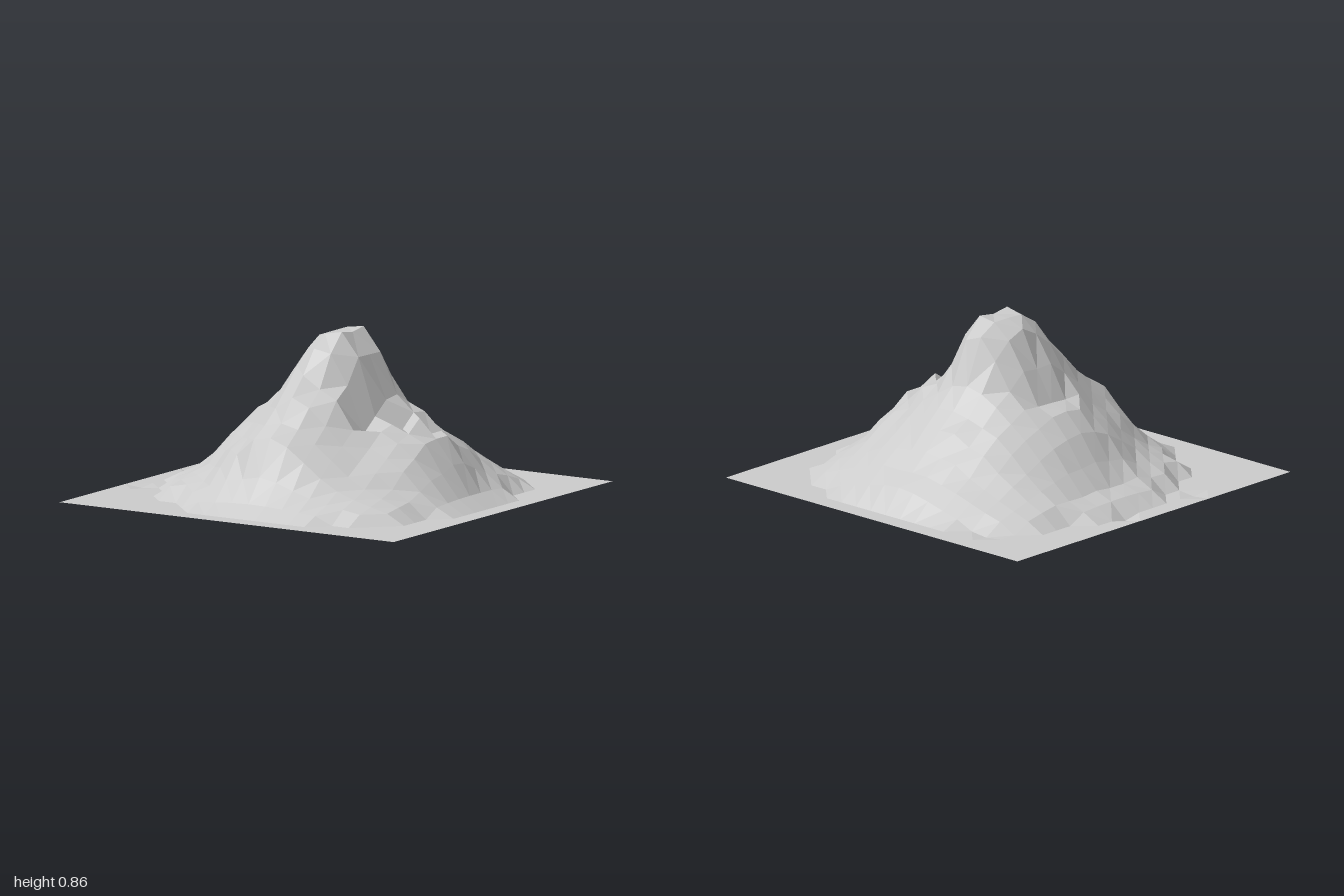
import * as THREE from 'three';

const GROUND = 0.02;
const CELLS = 20;

// Slope profiles: height at radius 0, 0.1 ... 0.9, and the radius of the foot,
// one per 45 degrees, starting at +x and turning towards +z.
const SLOPES = [
  { foot: 0.82, heights: [0.845, 0.845, 0.74, 0.53, 0.4, 0.43, 0.35, 0.22, 0.08, 0.02] },
  { foot: 0.93, heights: [0.845, 0.88, 0.83, 0.58, 0.43, 0.33, 0.25, 0.17, 0.11, 0.08] },
  { foot: 0.9, heights: [0.845, 0.84, 0.78, 0.65, 0.55, 0.45, 0.39, 0.2, 0.08, 0.02] },
  { foot: 0.85, heights: [0.845, 0.81, 0.69, 0.52, 0.41, 0.32, 0.22, 0.14, 0.09, 0.07] },
  { foot: 0.82, heights: [0.845, 0.81, 0.62, 0.455, 0.44, 0.35, 0.22, 0.1, 0.08, 0.02] },
  { foot: 0.93, heights: [0.845, 0.82, 0.7, 0.52, 0.44, 0.36, 0.28, 0.18, 0.12, 0.08] },
  { foot: 0.88, heights: [0.845, 0.845, 0.79, 0.55, 0.45, 0.38, 0.28, 0.2, 0.14, 0.02] },
  { foot: 0.93, heights: [0.845, 0.88, 0.83, 0.56, 0.43, 0.35, 0.28, 0.21, 0.14, 0.08] },
];

// Single grid points: x, z, height
const SPOTS = [
  // shoulder and notch on the left flank
  [0.4, -0.2, 0.44], [0.4, -0.1, 0.45], [0.5, -0.1, 0.35], [0.6, -0.1, 0.35],
  [0.4, 0, 0.38], [0.5, 0, 0.445], [0.5, 0.1, 0.38],
  // gully beside the front ridge
  [0.2, 0.3, 0.55], [0.3, 0.3, 0.41], [0.3, 0.2, 0.38], [0.3, 0.1, 0.45],
  // hollows in the ground
  [-0.9, -0.1, 0], [-0.9, 0.4, 0.01], [-0.6, -0.8, 0.01],
];

function along(heights, r) {
  const i = Math.min(Math.floor(r * 10 + 1e-6), 8);
  return THREE.MathUtils.lerp(heights[i], heights[i + 1], r * 10 - i);
}

// Blend the two nearest profiles around the peak
function slopeHeight(x, z) {
  const r = Math.hypot(x, z);
  const turn = (Math.atan2(z, x) / (Math.PI / 4) + 8) % 8;
  const i = Math.floor(turn);
  const t = THREE.MathUtils.smoothstep(turn - i, 0, 1);
  const from = SLOPES[i];
  const to = SLOPES[(i + 1) % 8];
  if (r > THREE.MathUtils.lerp(from.foot, to.foot, t)) return GROUND;
  return THREE.MathUtils.lerp(along(from.heights, r), along(to.heights, r), t);
}

function seeded(seed) {
  return () => {
    seed = (seed * 16807) % 2147483647;
    return seed / 2147483647;
  };
}

export function createModel() {
  const group = new THREE.Group();
  group.name = 'mountain';

  // Square sheet of ground raised into a rocky peak
  const geometry = new THREE.PlaneGeometry(2, 2, CELLS, CELLS);
  geometry.rotateX(-Math.PI / 2);
  const position = geometry.attributes.position;
  const random = seeded(4127);
  for (let i = 0; i < position.count; i++) {
    const x = position.getX(i);
    const z = position.getZ(i);
    const r = Math.hypot(x, z);
    let y = slopeHeight(x, z);
    // Roughness on the flanks only, so the summit, foot and ground stay clean
    const rough = (random() - 0.5) * 0.025;
    if (r > 0.25 && r < 0.78) y += rough;
    const spot = SPOTS.find(([sx, sz]) => Math.hypot(x - sx, z - sz) < 0.05);
    position.setY(i, spot ? spot[2] : y);
  }

  // Split every cell along its flatter diagonal, so creases follow the contours
  const index = [];
  for (let row = 0; row < CELLS; row++) {
    for (let column = 0; column < CELLS; column++) {
      const a = row * (CELLS + 1) + column;
      const b = a + CELLS + 1;
      const c = b + 1;
      const d = a + 1;
      const drop = (p, q) => Math.abs(position.getY(p) - position.getY(q));
      if (drop(a, c) < drop(b, d)) index.push(a, b, c, a, c, d);
      else index.push(a, b, d, b, c, d);
    }
  }
  geometry.setIndex(index);
  geometry.computeVertexNormals();

  const material = new THREE.MeshStandardMaterial({
    color: 0xcccccc, flatShading: true, side: THREE.DoubleSide,
  });
  const terrain = new THREE.Mesh(geometry, material);
  terrain.name = 'terrain';
  group.add(terrain);
  return group;
}
